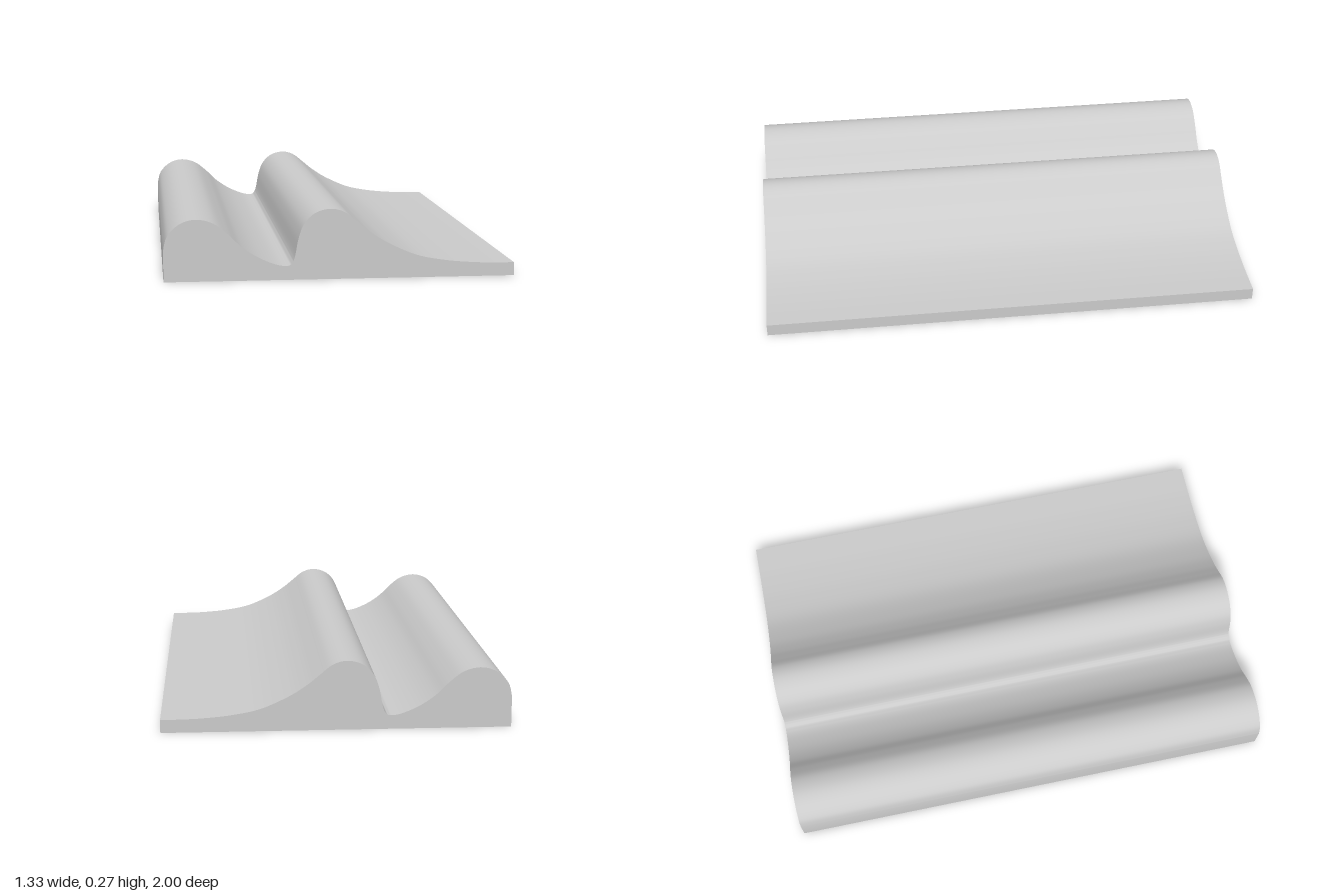
import * as THREE from 'three';
import { toCreasedNormals } from 'three/addons/utils/BufferGeometryUtils.js';

const points = (list) => list.map(([x, y]) => new THREE.Vector2(x, y));

export function createModel() {
  const model = new THREE.Group();
  model.name = 'wavePanel';

  // Cross-section: flat base, low rounded ridge, valley, tall ridge, long taper
  const profile = new THREE.Shape();
  profile.moveTo(0.665, 0);
  profile.lineTo(0.665, 0.05);
  profile.splineThru(points([
    [0.58, 0.051], [0.505, 0.054], [0.4, 0.064], [0.29, 0.086], [0.184, 0.132],
    [0.115, 0.175], [0.066, 0.214], [0.016, 0.253], [-0.038, 0.267], [-0.095, 0.253],
    [-0.137, 0.214], [-0.159, 0.16], [-0.173, 0.09], [-0.185, 0.062], [-0.205, 0.053],
    [-0.25, 0.061], [-0.316, 0.09], [-0.375, 0.13], [-0.425, 0.178], [-0.48, 0.219],
    [-0.545, 0.234], [-0.605, 0.217], [-0.65, 0.173], [-0.665, 0.12],
  ]));
  profile.lineTo(-0.665, 0);
  profile.closePath();

  // Sweep the section along the full length
  const geometry = new THREE.ExtrudeGeometry(profile, {
    depth: 2, steps: 1, curveSegments: 5, bevelEnabled: false,
  });
  geometry.translate(0, 0, -1);

  const panel = new THREE.Mesh(
    toCreasedNormals(geometry, 0.7),
    new THREE.MeshStandardMaterial({ color: 0xcccccc }),
  );
  panel.name = 'ridgedPanel';
  model.add(panel);
  return model;
}
